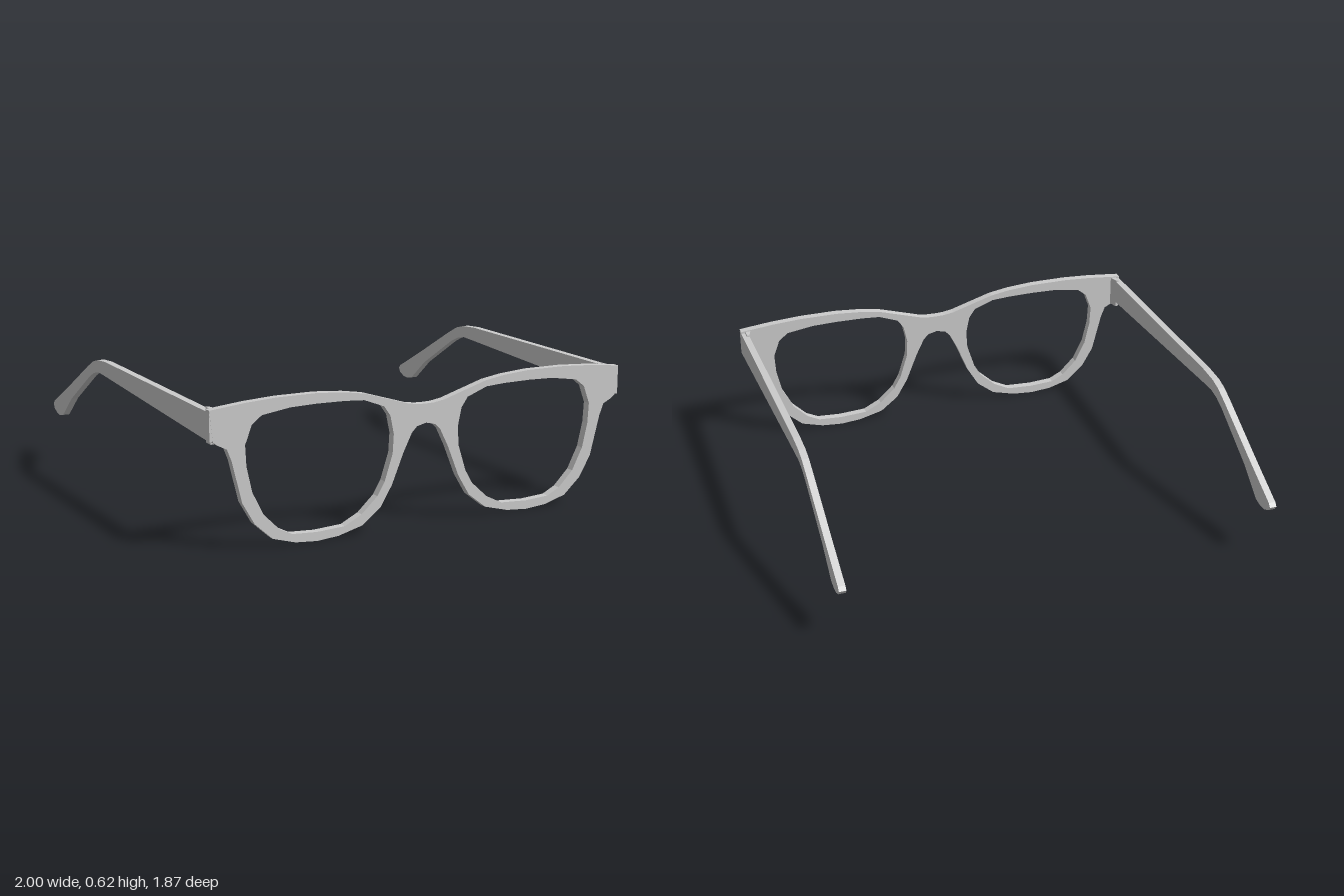
import * as THREE from 'three';

const material = new THREE.MeshStandardMaterial({ color: 0xcccccc, flatShading: true });
const toVectors = (points) => points.map(([x, y]) => new THREE.Vector2(x, y));
const mirror = (points) => points.map(([x, y]) => [-x, y]).reverse();

// Right half of the frame outline, from the underside of the bridge round to its top
const halfOutline = [
  [0, 0.446], [0.045, 0.435], [0.07, 0.41], [0.11, 0.33], [0.165, 0.195], [0.22, 0.104],
  [0.305, 0.038], [0.42, 0.008], [0.52, 0], [0.62, 0.008], [0.725, 0.038], [0.805, 0.11],
  [0.86, 0.205], [0.905, 0.384], [0.925, 0.435], [0.965, 0.455], [0.985, 0.47],
  [1, 0.601], [0.84, 0.617], [0.7, 0.625], [0.52, 0.625], [0.39, 0.615], [0.295, 0.6],
  [0.09, 0.538], [0.04, 0.53], [0, 0.529],
];

// Lens opening on the +x side
const lensOpening = [
  [0.845, 0.445], [0.84, 0.355], [0.815, 0.245], [0.765, 0.146], [0.695, 0.076], [0.635, 0.046],
  [0.52, 0.039], [0.39, 0.046], [0.31, 0.086], [0.235, 0.155], [0.2, 0.215], [0.163, 0.33],
  [0.158, 0.414], [0.175, 0.494], [0.205, 0.537], [0.3, 0.573], [0.39, 0.579], [0.52, 0.581],
  [0.64, 0.578], [0.77, 0.559], [0.815, 0.524], [0.835, 0.47],
];

// Side profile of a temple arm as [z, y]
const armProfile = [
  [0.933, 0.592], [-0.2, 0.603], [-0.3, 0.596], [-0.36, 0.58], [-0.43, 0.546],
  [-0.72, 0.391], [-0.92, 0.288], [-0.934, 0.271], [-0.92, 0.251], [-0.885, 0.235],
  [-0.845, 0.231], [-0.8, 0.241], [-0.67, 0.346], [-0.41, 0.501], [-0.35, 0.528],
  [-0.29, 0.54], [-0.24, 0.538], [0.933, 0.473],
];

// Hinge block plan as [x, z], tapering into the arm
const hingePlan = [[0.953, 0.9], [0.968, 0.853], [0.98, 0.853], [0.98, 0.9]];

function extrude(points, depth, holes = []) {
  const shape = new THREE.Shape(toVectors(points));
  shape.holes = holes.map((hole) => new THREE.Path(toVectors(hole)));
  return new THREE.ExtrudeGeometry(shape, { depth, bevelEnabled: false });
}

export function createModel() {
  const model = new THREE.Group();
  const add = (name, geometry) => {
    const mesh = new THREE.Mesh(geometry, material);
    mesh.name = name;
    model.add(mesh);
  };

  // Front frame with two lens openings (counter-clockwise outline)
  const outline = [...halfOutline, ...mirror(halfOutline).slice(1, -1)];
  add('frontFrame', extrude(outline, 0.037, [lensOpening, mirror(lensOpening)]).translate(0, 0, 0.897));

  for (const [side, s] of [['left', 1], ['right', -1]]) {
    // Temple arm, bent down behind the ear
    const arm = extrude(armProfile.map(([z, y]) => [-z, y]), 0.032).rotateY(Math.PI / 2);
    add(side + 'Temple', arm.translate(s > 0 ? 0.968 : -1, 0, 0));

    // Hinge block joining the arm to the frame
    const hinge = extrude(hingePlan.map(([x, z]) => [s * x, -z]), 0.146).rotateX(-Math.PI / 2);
    add(side + 'Hinge', hinge.translate(0, 0.454, 0));
  }
  return model;
}
